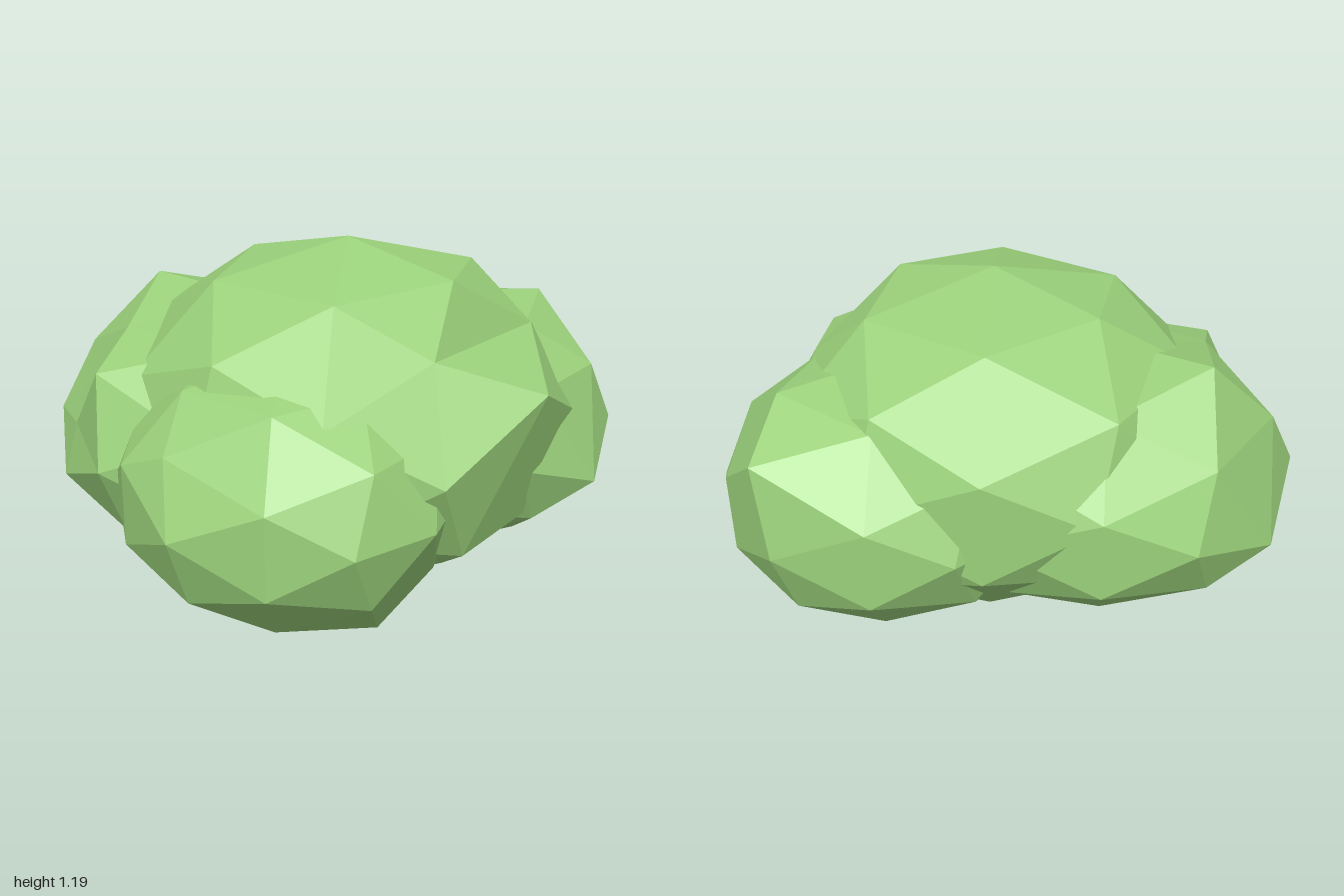
import * as THREE from 'three';

// One faceted leaf clump; each pull [corner direction, offset] makes a corner uneven
function makeClump(name, at, size, pulls, material) {
  const geo = new THREE.IcosahedronGeometry(1, 1);
  const p = geo.attributes.position;
  const scale = new THREE.Vector3(...size);
  const corner = new THREE.Vector3();
  const moves = pulls.map(([dir, offset]) => [
    new THREE.Vector3(...dir).normalize(), new THREE.Vector3(...offset),
  ]);
  for (let i = 0; i < p.count; i++) {
    corner.fromBufferAttribute(p, i);
    const move = moves.find(([dir]) => dir.dot(corner) > 0.99);
    corner.multiply(scale);
    if (move) corner.add(move[1]);
    p.setXYZ(i, corner.x, corner.y, corner.z);
  }
  geo.computeVertexNormals();
  const mesh = new THREE.Mesh(geo, material);
  mesh.name = name;
  mesh.position.set(...at);
  return mesh;
}

export function createModel() {
  const bush = new THREE.Group();
  bush.name = 'bush';
  const leaves = new THREE.MeshStandardMaterial({ color: 0x9bd17b, flatShading: true });

  // Tall middle clump with a raised left tip
  bush.add(makeClump('mainClump', [0.13, 0.595, 0], [0.8, 0.595, 0.8], [
    [[1, 0, 0], [-0.02, 0.2, 0]],
    [[0.81, 0.5, -0.31], [-0.14, 0, -0.13]],
    [[0.81, 0.5, 0.31], [-0.13, 0.02, 0]],
  ], leaves));

  // Right clump with a drooping tip
  bush.add(makeClump('rightClump', [-0.25, 0.5, 0.13], [0.67, 0.46, 0.7], [
    [[-1, 0, 0], [0, -0.13, 0]],
    [[-0.53, 0.85, 0], [-0.05, 0.08, 0]],
    [[-0.5, 0.31, 0.81], [0.02, -0.1, -0.05]],
    [[0, 0.53, 0.85], [-0.1, 0.05, 0]],
  ], leaves));

  // Low front clump
  bush.add(makeClump('frontClump', [0.23, 0.47, 0.46], [0.58, 0.44, 0.54], [
    [[0, 0.53, 0.85], [-0.1, -0.02, -0.02]],
    [[0.53, -0.85, 0], [0.07, -0.02, 0]],
  ], leaves));

  // Back clump
  bush.add(makeClump('backClump', [0.3, 0.49, -0.38], [0.6, 0.46, 0.62], [
    [[1, 0, 0], [0.02, -0.12, 0]],
    [[0, 0.53, -0.85], [0.08, 0.06, -0.06]],
    [[0.31, 0.81, -0.5], [0, 0.05, -0.03]],
  ], leaves));
  return bush;
}
